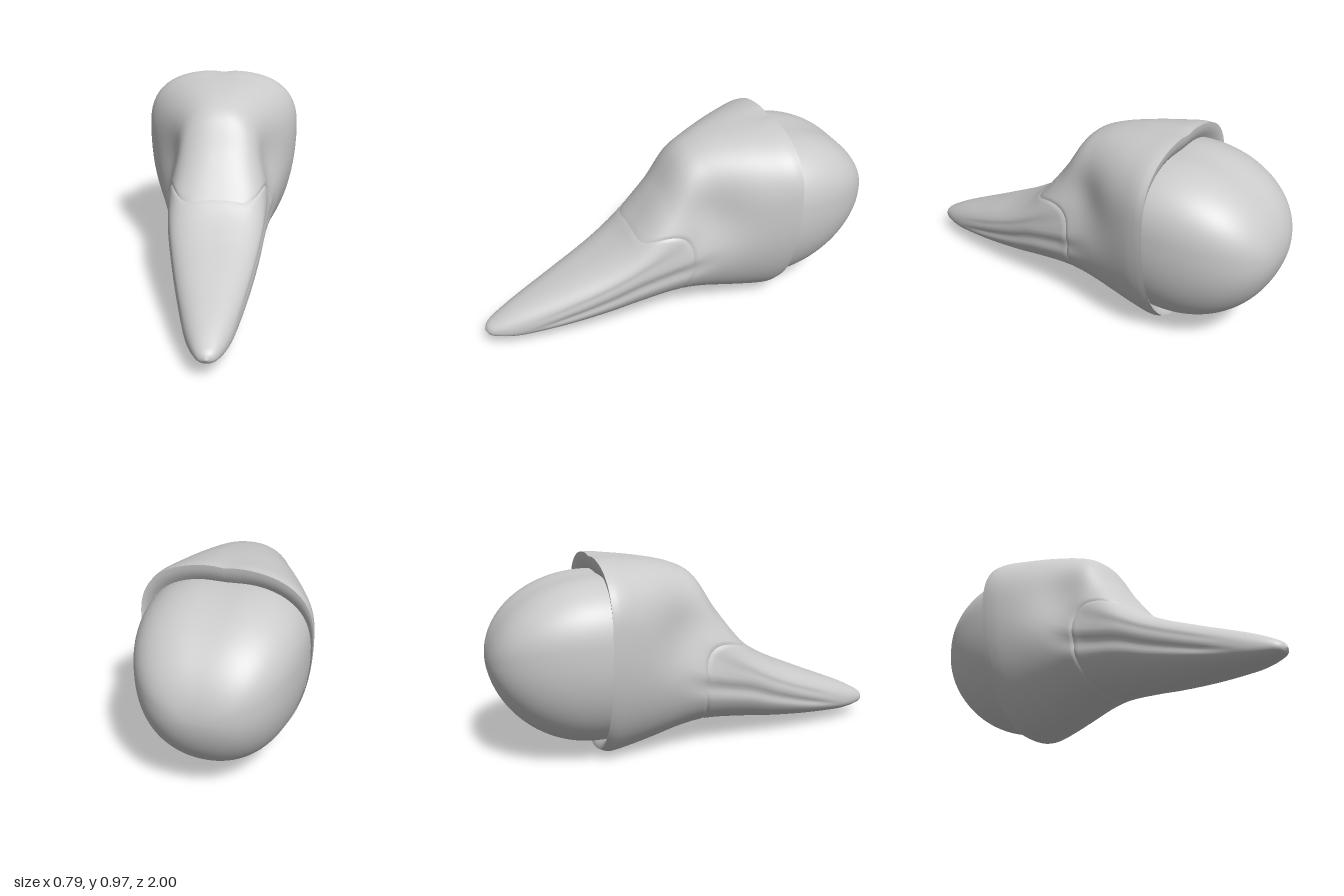
import * as THREE from 'three';

const material = new THREE.MeshStandardMaterial({ color: 0xcccccc });
const SIDES = 96;

// Profile rows along the head: z, top y, bottom y, half width, y of widest line, upper and lower roundness
const ROWS = [
  [1.0, 0.10, 0.10, 0.0, 0.10, 2, 2],
  [0.985, 0.126, 0.078, 0.034, 0.10, 2.1, 2.1],
  [0.95, 0.15, 0.066, 0.06, 0.105, 2.2, 2.2],
  [0.88, 0.188, 0.057, 0.09, 0.115, 2.2, 2.4],
  [0.8, 0.224, 0.054, 0.115, 0.135, 2.3, 2.4],
  [0.6, 0.308, 0.06, 0.165, 0.20, 2.4, 2.3],
  [0.4, 0.4, 0.075, 0.207, 0.275, 2.5, 2.2],
  [0.25, 0.506, 0.092, 0.234, 0.34, 2.5, 2.15],
  [0.1, 0.695, 0.104, 0.252, 0.38, 2.4, 2.1],
  [0.0, 0.85, 0.102, 0.268, 0.41, 2.3, 2.1],
  [-0.1, 0.91, 0.083, 0.29, 0.46, 2.3, 2.1],
  [-0.25, 0.945, 0.042, 0.334, 0.55, 2.5, 2.1],
  [-0.4, 0.964, 0.008, 0.38, 0.63, 2.6, 2.1],
  [-0.46, 0.97, 0.002, 0.392, 0.66, 2.6, 2.1],
  [-0.5, 0.97, 0.02, 0.395, 0.66, 2.6, 2.1],
];

// Smooth interpolation of one profile row at z
function rowAt(z) {
  let i = 0;
  while (i < ROWS.length - 2 && z < ROWS[i + 1][0]) i++;
  const slope = (k, c) => {
    const a = ROWS[Math.max(k - 1, 0)], b = ROWS[Math.min(k + 1, ROWS.length - 1)];
    return (b[c] - a[c]) / (b[0] - a[0]);
  };
  const p = ROWS[i], q = ROWS[i + 1], h = q[0] - p[0];
  const t = (z - p[0]) / h, t2 = t * t, t3 = t2 * t;
  return p.map((v, c) => c === 0 ? z
    : (2 * t3 - 3 * t2 + 1) * v + (t3 - 2 * t2 + t) * h * slope(i, c)
    + (3 * t2 - 2 * t3) * q[c] + (t3 - t2) * h * slope(i + 1, c));
}

const { lerp, smoothstep } = THREE.MathUtils;
const bell = (v, centre, width) => Math.exp(-(((v - centre) / width) ** 2));
const power = (v, e) => Math.sign(v) * Math.abs(v) ** e;

// Rounded section, with separate roundness above and below its widest line
function section(a, top, bottom, half, mid, upper, lower) {
  const c = Math.cos(a), s = Math.sin(a), e = 2 / (s > 0 ? upper : lower);
  return [half * power(c, e), mid + (s > 0 ? top - mid : mid - bottom) * power(s, e)];
}

// Line where the beak leaves the face
function seamZ(a) {
  const s = Math.sin(a);
  return s > 0 ? 0.24 * smoothstep(s, 0, 0.95) : 0.04 * s * s;
}

// Point on the beak and face surface
function headPoint(z, a) {
  const [, top, bottom, half, mid, upper, lower] = rowAt(z);
  let [x, y] = section(a, top, bottom, half, mid, upper, lower);
  // eye hollows beside the forehead
  x *= 1 - 0.17 * bell(y, 0.63, 0.16) * bell(z, -0.08, 0.16);
  // mouth grooves along each side of the beak, fading into the cheeks
  const angle = Math.atan2(Math.sin(a), Math.abs(Math.cos(a)));
  const fade = smoothstep(z, -0.18, 0.08) * (1 - smoothstep(z, 0.6, 0.85));
  x *= 1 - fade * (0.07 * bell(angle, -0.22, 0.13) + 0.03 * bell(angle, 0.12, 0.12));
  // shallow dip on the crown at the rear
  y -= 0.008 * bell(x, 0, 0.04) * bell(z, -0.5, 0.1) * Math.max(Math.sin(a), 0);
  // fine crease at the seam
  const crease = 1 - 0.02 * bell(z, seamZ(a), 0.008);
  return [x * crease, mid + (y - mid) * crease, z];
}

// Point on the rounded back of the head, t running from its rim to the rear pole
function skullPoint(t, a) {
  const c = Math.max(Math.cos(t), 0);
  const [x, y] = section(a, 0.5 + 0.39 * c, 0.5 - 0.43 * c ** 1.15,
    0.38 * c ** 0.75, 0.5 + 0.08 * c, 2.6, 2.1);
  return [x, y - 0.008 * bell(x, 0, 0.09) * Math.max(Math.sin(a), 0) * c,
    -0.5 - 0.5 * Math.sin(t)];
}

// Closed rings joined from front to back
function loft(name, steps, point) {
  const positions = [], index = [];
  for (let i = 0; i <= steps; i++) {
    for (let j = 0; j < SIDES; j++) {
      positions.push(...point(i / steps, (j / SIDES) * Math.PI * 2));
      if (i === steps) continue;
      const k = (j + 1) % SIDES, r = i * SIDES, n = r + SIDES;
      index.push(r + j, n + j, r + k, r + k, n + j, n + k);
    }
  }
  const geometry = new THREE.BufferGeometry();
  geometry.setAttribute('position', new THREE.Float32BufferAttribute(positions, 3));
  geometry.setIndex(index);
  geometry.computeVertexNormals();
  const mesh = new THREE.Mesh(geometry, material);
  mesh.name = name;
  return mesh;
}

export function createModel() {
  const head = new THREE.Group();
  head.name = 'birdHead';
  head.add(
    loft('beak', 100, (v, a) => headPoint(lerp(1, seamZ(a), v ** 1.4), a)),
    loft('face', 80, (v, a) => headPoint(lerp(seamZ(a), -0.5, v), a)),
    // rear edge of the face, turned in to the skull
    loft('faceRim', 4, (v, a) => {
      const p = headPoint(-0.5, a), q = skullPoint(0, a);
      return [lerp(p[0], q[0], v), lerp(p[1], q[1], v), -0.5 + 0.03 * v * v];
    }),
    loft('backOfHead', 50, (v, a) => skullPoint(lerp(-0.08, Math.PI / 2, v), a)),
  );
  return head;
}
